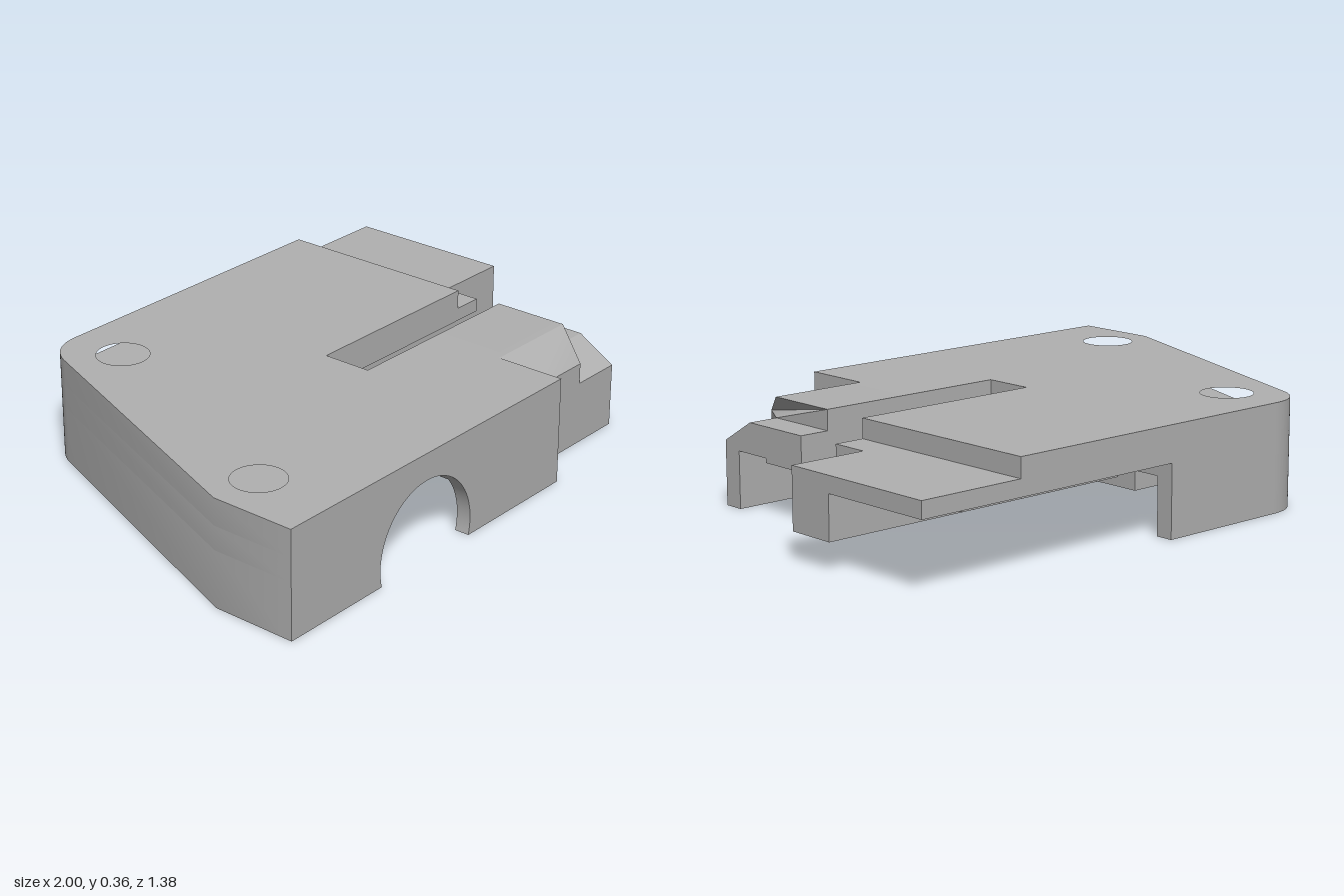
import * as THREE from 'three';
import { toCreasedNormals } from 'three/addons/utils/BufferGeometryUtils.js';

const grey = new THREE.MeshStandardMaterial({ color: 0xb0b0b0 });
grey.name = 'grey plastic';

const HOLES = [[-0.47, -0.48], [-0.83, 0.42]];
const HOLE_R = 0.086;
const BOSS_R = 0.165;

export function createModel() {
  const group = new THREE.Group();
  group.name = 'coverShell';

  const add = (name, geometry) => {
    const mesh = new THREE.Mesh(toCreasedNormals(geometry, 0.5), grey);
    mesh.name = name;
    group.add(mesh);
    return mesh;
  };
  const extrude = (shape, depth) =>
    new THREE.ExtrudeGeometry(shape, { depth, bevelEnabled: false, curveSegments: 32 });

  // Plan shape in (x, z), raised from y0 to y1
  const plan = (name, shape, y0, y1) =>
    add(name, extrude(shape, y1 - y0).rotateX(-Math.PI / 2).translate(0, y0, 0));
  // Side profile in (z, y), run from x0 to x1
  const sideGeometry = (points, x0, x1) =>
    extrude(new THREE.Shape(points.map(([z, y]) => new THREE.Vector2(-z, y))), x1 - x0)
      .rotateY(Math.PI / 2).translate(x0, 0, 0);
  const box = (name, x0, x1, y0, y1, z0, z1) =>
    add(name, new THREE.BoxGeometry(x1 - x0, y1 - y0, z1 - z0)
      .translate((x0 + x1) / 2, (y0 + y1) / 2, (z0 + z1) / 2));

  // Slanted left edge and rounded rear corner, followed by the given points
  const outline = (rest) => {
    const s = new THREE.Shape();
    s.moveTo(-1, -0.69);
    s.lineTo(-1, -0.4);
    s.lineTo(-0.622, 0.59);
    s.quadraticCurveTo(-0.58, 0.69, -0.47, 0.69);
    rest.forEach(([x, z]) => s.lineTo(x, -z));
    s.closePath();
    return s;
  };
  const drill = (shape, holes = HOLES) => {
    holes.forEach(([x, z]) =>
      shape.holes.push(new THREE.Path().absarc(x, -z, HOLE_R, 0, Math.PI * 2, true)));
    return shape;
  };

  // Top plate with the long slot, and the thicker roof below it
  plan('topPlate', drill(outline([
    [0.625, -0.69], [0.625, 0.02], [-0.06, 0.02], [-0.06, 0.19], [0.28, 0.19], [0.28, 0.69],
  ])), 0.27, 0.36);
  plan('roof', drill(outline([
    [0, -0.69], [0, 0.02], [-0.06, 0.02], [-0.06, 0.19], [0.28, 0.19], [0.28, 0.69],
    [-0.175, 0.69], [-0.175, 0.19], [-0.605, 0.19], [-0.605, 0.69],
  ])), 0.19, 0.27);

  // Slanted and rear skirt walls
  plan('skirtWall', outline([
    [0, -0.69], [0, -0.63], [-0.5, -0.63], [-0.565, -0.58], [-0.942, 0.41], [-0.942, 0.69],
  ]), 0, 0.19);

  // Screw bosses
  for (const [x, z] of HOLES) {
    const ring = new THREE.Shape().absarc(x, -z, BOSS_R, 0, Math.PI * 2, false);
    plan('screwBoss', drill(ring, [[x, z]]), 0, 0.19);
  }

  // Front wall with the round cable opening
  const cx = -0.39, cy = 0.055, r = 0.215;
  const low = Math.asin(-cy / r);
  const front = new THREE.Shape();
  front.moveTo(-1, 0);
  front.lineTo(cx - r * Math.cos(low), 0);
  front.absarc(cx, cy, r, Math.PI - low, low, true);
  front.lineTo(0.28, 0);
  front.lineTo(0.28, 0.28);
  front.lineTo(-1, 0.28);
  add('frontWall', extrude(front, 0.05).translate(0, 0, 0.64));

  // Arched cable channel in the roof
  const a = Math.asin((0.19 - cy) / r);
  const arch = new THREE.Shape();
  arch.moveTo(-0.605, 0.19);
  arch.lineTo(cx - r * Math.cos(a), 0.19);
  arch.absarc(cx, cy, r, Math.PI - a, a, true);
  arch.lineTo(-0.175, 0.19);
  arch.lineTo(-0.175, 0.28);
  arch.lineTo(-0.605, 0.28);
  add('cableChannel', extrude(arch, 0.5).translate(0, 0, 0.19));

  // Front arm: lower tongue with outer wall, then the bevelled upper step
  add('armTongue', sideGeometry([
    [0.19, 0.175], [0.37, 0.175], [0.37, 0.19], [0.51, 0.19], [0.51, 0],
    [0.58, 0], [0.58, 0.215], [0.45, 0.292], [0.19, 0.292],
  ], 0.17, 0.73));
  const step = sideGeometry([
    [0.19, 0.292], [0.45, 0.292], [0.58, 0.215], [0.58, 0.285], [0.45, 0.36], [0.19, 0.36],
  ], 0.28, 0.625);
  const p = step.attributes.position;
  for (let i = 0; i < p.count; i++) {
    if (p.getX(i) > 0.6 && p.getZ(i) > 0.57) p.setX(i, 0.545);
  }
  step.deleteAttribute('normal');
  step.computeVertexNormals();
  add('armStep', step);
  box('armShoulder', 0.17, 0.28, 0, 0.19, 0.51, 0.69);

  // Rear shelf, ledge and the ribs underneath
  box('rearShelf', -0.02, 1, 0.24, 0.295, -0.69, -0.28);
  box('longRib', -0.12, 1, 0.095, 0.295, -0.28, -0.11);
  box('slotLedge', -0.06, 0.73, 0.25, 0.295, -0.11, 0.02);
  box('innerRib', -0.02, 0.63, 0.15, 0.25, -0.44, -0.28);
  box('supportBlock', -0.48, -0.25, 0.04, 0.2, -0.29, -0.11);
  box('supportStep', -0.25, 0, 0.14, 0.2, -0.35, -0.28);

  return group;
}
